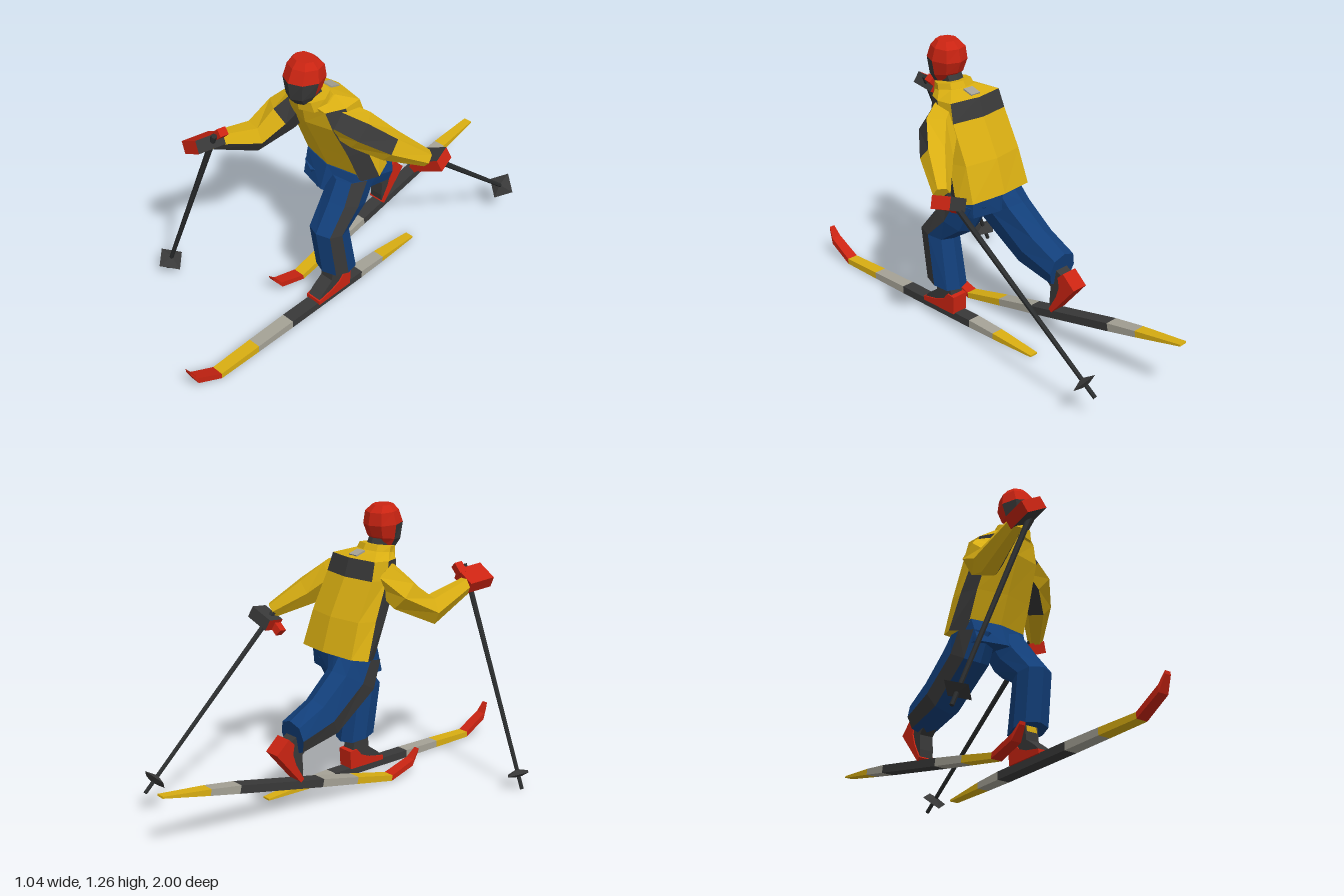
import * as THREE from 'three';

const V = (x, y, z) => new THREE.Vector3(x, y, z);
const material = (name, color) => {
  const m = new THREE.MeshStandardMaterial({ color });
  m.name = name;
  return m;
};

export function createModel() {
  const yellow = material('yellow', 0xd9ae12);
  const red = material('red', 0xcb2412);
  const blue = material('blue', 0x123f7a);
  const dark = material('charcoal', 0x393939);
  const grey = material('warm grey', 0xa5a296);
  const black = material('pole black', 0x2b2d2e);

  const model = new THREE.Group();
  model.name = 'skier';

  const add = (name, geometry, mat, parent = model) => {
    const mesh = new THREE.Mesh(geometry, mat);
    mesh.name = name;
    parent.add(mesh);
    return mesh;
  };
  const faceted = (g) => {
    const out = g.index ? g.toNonIndexed() : g;
    out.computeVertexNormals();
    return out;
  };

  // Capped loft through rings; pick(row, side) gives the material of each face
  function loft(name, rings, pick, parent = model) {
    const buckets = new Map();
    let volume = 0;
    const tri = (m, a, b, c) => {
      if (!buckets.has(m)) buckets.set(m, []);
      buckets.get(m).push([a, b, c]);
      volume += a.dot(b.clone().cross(c));
    };
    const n = rings[0].length, last = rings.length - 1;
    for (let i = 0; i < last; i++) for (let j = 0; j < n; j++) {
      const k = (j + 1) % n, m = pick(i, j);
      tri(m, rings[i][j], rings[i][k], rings[i + 1][k]);
      tri(m, rings[i][j], rings[i + 1][k], rings[i + 1][j]);
    }
    for (const [i, flip] of [[0, true], [last, false]]) {
      const mid = rings[i].reduce((s, p) => s.add(p), V(0, 0, 0)).divideScalar(n);
      for (let j = 0; j < n; j++) {
        const a = rings[i][j], b = rings[i][(j + 1) % n], m = pick(flip ? 0 : last - 1, 0);
        flip ? tri(m, mid, b, a) : tri(m, mid, a, b);
      }
    }
    const points = [], mats = [], g = new THREE.BufferGeometry();
    for (const [m, tris] of buckets) {
      g.addGroup(points.length, tris.length * 3, mats.length);
      mats.push(m);
      for (const [a, b, c] of tris) points.push(...(volume < 0 ? [a, c, b] : [a, b, c]));
    }
    g.setFromPoints(points);
    g.computeVertexNormals();
    return add(name, g, mats, parent);
  }

  // Eight-sided ring from a front point and a back point [y, z], with three half widths
  function oct(x, f, b, wf, wm = wf, wb = wf) {
    const at = (t, dx) => V(x + dx, f[0] + (b[0] - f[0]) * t, f[1] + (b[1] - f[1]) * t);
    return [at(0, 0), at(0.14, wf), at(0.5, wm), at(0.88, wb),
      at(1, 0), at(0.88, -wb), at(0.5, -wm), at(0.14, -wf)];
  }

  // Jacket with dark side panels and a dark yoke on the back
  loft('jacket', [
    oct(0.08, [0.61, 0.085], [0.65, -0.11], 0.145, 0.19, 0.165),
    oct(0.08, [0.785, 0.16], [0.8, -0.065], 0.14, 0.17, 0.155),
    oct(0.08, [0.95, 0.235], [0.965, 0.015], 0.125, 0.15, 0.15),
    oct(0.08, [1.03, 0.25], [1.045, 0.04], 0.1, 0.14, 0.14),
    oct(0.08, [1.055, 0.26], [1.07, 0.12], 0.06, 0.09, 0.07),
  ], (i, j) => (i === 2 && j >= 3 && j <= 4) || (i < 3 && (j === 1 || j === 6)) ? dark : yellow);
  loft('collar', [
    oct(0.08, [1.03, 0.27], [1.05, 0.11], 0.065, 0.09, 0.07),
    oct(0.08, [1.075, 0.275], [1.095, 0.135], 0.055, 0.083, 0.06),
  ], () => yellow);
  const patch = add('neckPatch', new THREE.BoxGeometry(0.05, 0.05, 0.008), grey);
  patch.position.set(0.08, 1.06, 0.085);
  patch.rotation.x = 1.25;

  // Neck and head: red helmet over a dark face
  loft('neck', [oct(0.08, [1.05, 0.25], [1.06, 0.15], 0.04), oct(0.08, [1.12, 0.28], [1.12, 0.18], 0.04)], () => dark);
  loft('head', [
    oct(0.08, [1.065, 0.285], [1.09, 0.2], 0.035, 0.045, 0.035),
    oct(0.08, [1.1, 0.315], [1.12, 0.17], 0.045, 0.066, 0.05),
    oct(0.08, [1.18, 0.325], [1.17, 0.15], 0.055, 0.083, 0.06),
    oct(0.08, [1.235, 0.3], [1.225, 0.16], 0.05, 0.072, 0.055),
    oct(0.08, [1.26, 0.275], [1.255, 0.19], 0.035, 0.048, 0.035),
  ], (i, j) => i < 2 && (j < 2 || j > 5) ? dark : red);

  // Trousers: hips and two legs with a dark outer front panel
  loft('hips', [
    oct(0.08, [0.66, 0.11], [0.68, -0.08], 0.14, 0.16, 0.14),
    oct(0.08, [0.55, 0.15], [0.56, -0.08], 0.13, 0.15, 0.13),
  ], () => blue);
  loft('leftTrouserLeg', [
    oct(0.155, [0.63, 0.13], [0.6, -0.07], 0.06, 0.085, 0.065),
    oct(0.165, [0.55, 0.185], [0.47, 0.0], 0.065, 0.082, 0.06),
    oct(0.175, [0.43, 0.275], [0.4, 0.11], 0.06, 0.076, 0.055),
    oct(0.178, [0.195, 0.24], [0.165, 0.07], 0.06, 0.077, 0.06),
  ], (i, j) => j === 1 ? dark : blue);
  loft('rightTrouserLeg', [
    oct(0.0, [0.6, 0.13], [0.65, -0.08], 0.06, 0.085, 0.065),
    oct(-0.01, [0.47, 0.08], [0.59, -0.13], 0.065, 0.082, 0.065),
    oct(-0.02, [0.31, -0.14], [0.49, -0.245], 0.06, 0.08, 0.06),
    oct(-0.02, [0.27, -0.34], [0.42, -0.365], 0.058, 0.075, 0.058),
  ], (i, j) => j === 6 ? dark : blue);

  // Six-sided sleeve along a path of [x, y, z, radius]
  function sleeve(name, path, pick) {
    const pts = path.map((p) => V(p[0], p[1], p[2]));
    loft(name, path.map((p, i) => {
      const t = pts[Math.min(i + 1, pts.length - 1)].clone().sub(pts[Math.max(i - 1, 0)]).normalize();
      const u = t.clone().cross(V(0, 1, 0)).normalize(), v = u.clone().cross(t);
      return Array.from({ length: 6 }, (_, k) => pts[i].clone()
        .addScaledVector(u, Math.cos(k * Math.PI / 3) * p[3])
        .addScaledVector(v, Math.sin(k * Math.PI / 3) * p[3]));
    }), pick);
  }
  sleeve('leftSleeve', [[0.18, 0.965, 0.14, 0.075], [0.26, 0.93, 0.1, 0.082],
    [0.345, 0.855, 0.02, 0.068], [0.44, 0.765, -0.11, 0.036]],
  (i, j) => i < 2 && (j === 0 || j === 4) ? dark : yellow);
  sleeve('rightSleeve', [[-0.02, 0.975, 0.14, 0.07], [-0.09, 0.89, 0.2, 0.08],
    [-0.14, 0.81, 0.32, 0.066], [-0.15, 0.895, 0.53, 0.036]],
  (i, j) => j === 3 || (i < 1 && j === 2) ? dark : yellow);

  // Gloves with dark palms: box faces run +x, -x, +y, -y, +z, -z
  function glove(name, pos, rot, size, palms, thumbPos) {
    const hand = new THREE.Group();
    hand.name = name;
    hand.position.set(...pos);
    hand.rotation.set(...rot);
    model.add(hand);
    const faces = Array.from({ length: 6 }, (_, i) => palms.includes(i) ? dark : red);
    add('palm', new THREE.BoxGeometry(...size), faces, hand);
    const thumb = add('thumb', new THREE.BoxGeometry(0.055, 0.035, 0.04), red, hand);
    thumb.position.set(...thumbPos);
    thumb.rotation.z = 0.3;
  }
  glove('leftGlove', [0.44, 0.735, -0.15], [0.15, 0.25, 0.4], [0.115, 0.055, 0.09], [2, 5], [-0.07, -0.01, 0.02]);
  glove('rightGlove', [-0.145, 0.915, 0.58], [-0.1, -0.1, 0.5], [0.105, 0.055, 0.13], [0, 3], [0.055, 0.02, -0.05]);

  // Poles with four-sided baskets near the tip
  function pole(name, top, tip) {
    const g = new THREE.Group(), dir = top.clone().sub(tip), len = dir.length();
    g.name = name;
    g.position.copy(tip);
    g.quaternion.setFromUnitVectors(V(0, 1, 0), dir.normalize());
    model.add(g);
    add('shaft', faceted(new THREE.CylinderGeometry(0.013, 0.009, len, 6)), black, g).position.y = len / 2;
    add('basketTop', faceted(new THREE.ConeGeometry(0.066, 0.022, 4)), dark, g).position.y = 0.081;
    add('basketUnderside', faceted(new THREE.CylinderGeometry(0.066, 0.02, 0.012, 4)), dark, g).position.y = 0.064;
  }
  pole('leftPole', V(0.42, 0.76, -0.12), V(0.347, 0.11, -0.86));
  pole('rightPole', V(-0.09, 0.97, 0.57), V(-0.49, 0.01, 0.57));

  // Skis: stations from tail to tip as [z, bottom y, thickness, half width]
  const stations = [[0, 0.004, 0.008, 0.02], [0.22, 0.004, 0.028, 0.028], [0.365, 0.004, 0.036, 0.03],
    [0.805, 0.006, 0.036, 0.03], [1.005, 0.008, 0.032, 0.029], [1.215, 0.01, 0.026, 0.027],
    [1.335, 0.075, 0.03, 0.024], [1.365, 0.14, 0.014, 0.014]];
  const bands = [yellow, grey, dark, grey, yellow, red, red];
  function ski(name, x, y, z, pitch) {
    const mesh = loft(name, stations.map(([s, b, t, w]) =>
      [V(-w, b, s), V(w, b, s), V(w, b + t, s), V(-w, b + t, s)]), (i) => bands[i]);
    mesh.position.set(x, y, z);
    mesh.rotation.x = pitch;
  }
  ski('leftSki', 0.163, 0, -0.365, 0);
  ski('rightSki', -0.014, 0.247, -1, 0.207);

  // Boots: side profiles [z, y] measured from the toe, extruded across the foot
  function side(points, width) {
    const g = new THREE.ExtrudeGeometry(new THREE.Shape(points.map((p) => new THREE.Vector2(...p))),
      { depth: width, bevelEnabled: false });
    g.translate(0, 0, -width / 2);
    g.rotateY(-Math.PI / 2);
    return g;
  }
  function boot(name, x, y, z, pitch) {
    const g = new THREE.Group();
    g.name = name;
    g.position.set(x, y, z);
    g.rotation.x = pitch;
    model.add(g);
    add('sole', side([[-0.195, 0], [0, 0], [0, 0.02], [-0.08, 0.035], [-0.13, 0.055], [-0.16, 0.09], [-0.2, 0.085]], 0.078), red, g);
    add('upper', side([[-0.19, 0.02], [-0.005, 0.02], [-0.03, 0.045], [-0.085, 0.085], [-0.09, 0.15], [-0.165, 0.15], [-0.18, 0.08]], 0.066), dark, g);
    add('sock', new THREE.BoxGeometry(0.052, 0.08, 0.068), yellow, g).position.set(0, 0.155, -0.122);
  }
  boot('leftBoot', 0.165, 0.038, 0.285, 0);
  boot('rightBoot', -0.014, 0.145, -0.335, 0.88);

  return model;
}
